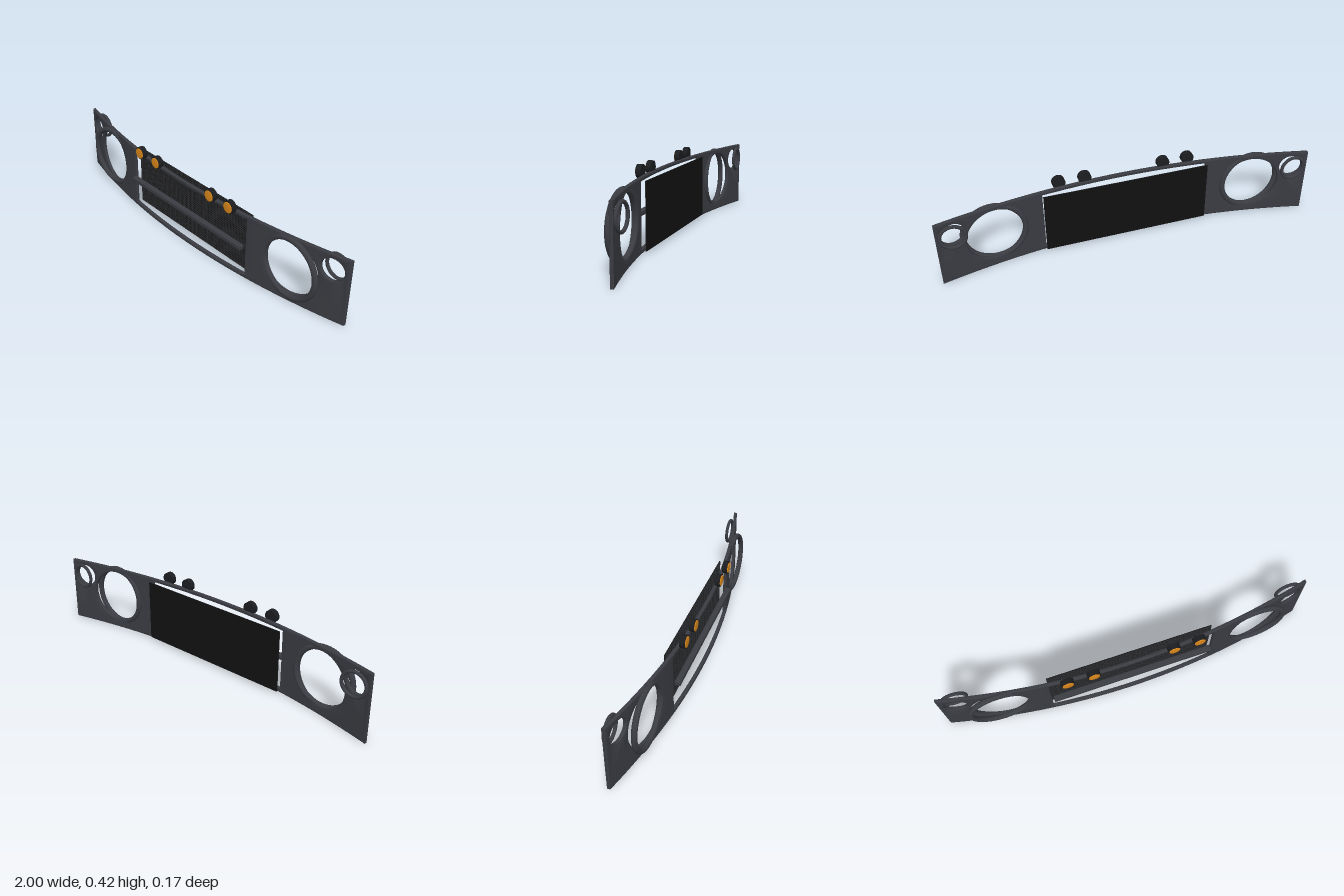
import * as THREE from 'three';
import { RoundedBoxGeometry } from 'three/addons/geometries/RoundedBoxGeometry.js';
import { mergeGeometries, toCreasedNormals } from 'three/addons/utils/BufferGeometryUtils.js';

const THICK = 0.019;
const frontZ = (x) => 0.07 - 0.126 * x * x; // bow of the panel's front face

const mat = (color) => new THREE.MeshStandardMaterial({ color });

// Split triangles until no edge spans more than maxX in x, so the panel can bend smoothly
function subdivideX(geo, maxX) {
  const p = geo.attributes.position;
  const stack = [], out = [];
  for (let i = 0; i < p.count; i += 3) {
    stack.push([0, 1, 2].map((k) => new THREE.Vector3().fromBufferAttribute(p, i + k)));
  }
  while (stack.length) {
    const t = stack.pop();
    const spans = t.map((v, k) => Math.abs(v.x - t[(k + 1) % 3].x));
    const k = spans.indexOf(Math.max(...spans));
    if (spans[k] <= maxX) {
      t.forEach((v) => out.push(v.x, v.y, v.z));
      continue;
    }
    const a = t[k], b = t[(k + 1) % 3], c = t[(k + 2) % 3];
    const m = a.clone().add(b).multiplyScalar(0.5);
    stack.push([a, m, c], [m, b, c]);
  }
  const g = new THREE.BufferGeometry();
  g.setAttribute('position', new THREE.Float32BufferAttribute(out, 3));
  return g;
}

function rectPath(path, x0, y0, x1, y1) {
  path.moveTo(x0, y0).lineTo(x1, y0).lineTo(x1, y1).lineTo(x0, y1).closePath();
  return path;
}

// Bowed panel with grille opening and four round lamp openings
function panelGeometry() {
  const shape = rectPath(new THREE.Shape(), -1, 0, 1, 0.368);
  shape.holes.push(rectPath(new THREE.Path(), -0.445, 0.02, 0.445, 0.35));
  for (const s of [-1, 1]) {
    shape.holes.push(new THREE.Path().absarc(s * 0.705, 0.197, 0.148, 0, Math.PI * 2, true));
    shape.holes.push(new THREE.Path().absarc(s * 0.915, 0.285, 0.06, 0, Math.PI * 2, true));
  }
  const bevel = 0.003;
  const flat = new THREE.ExtrudeGeometry(shape, {
    depth: THICK - 2 * bevel, curveSegments: 48,
    bevelThickness: bevel, bevelSize: bevel, bevelOffset: -bevel, bevelSegments: 2,
  });
  const geo = subdivideX(flat, 0.05);
  const p = geo.attributes.position;
  for (let i = 0; i < p.count; i++) {
    p.setZ(i, p.getZ(i) + bevel - THICK + frontZ(p.getX(i)));
  }
  return toCreasedNormals(geo, 0.6);
}

// Fine grid of thin bars
function gridGeometry(w, h, nx, ny, bar) {
  const parts = [];
  for (let i = 0; i <= nx; i++) {
    parts.push(new THREE.BoxGeometry(bar, h, bar).translate((i / nx - 0.5) * (w - bar), 0, 0));
  }
  for (let j = 0; j <= ny; j++) {
    parts.push(new THREE.BoxGeometry(w, bar, bar).translate(0, (j / ny - 0.5) * (h - bar), 0));
  }
  return mergeGeometries(parts);
}

export function createModel() {
  const model = new THREE.Group();
  const body = mat(0x3a3c42), dark = mat(0x1c1d20), black = mat(0x111111);
  const wire = mat(0x2a2b2e), amber = mat(0xd9861a);

  const add = (name, geo, material, x, y, z, parent = model) => {
    const m = new THREE.Mesh(geo, material);
    m.name = name;
    m.position.set(x, y, z);
    parent.add(m);
    return m;
  };

  add('frontPanel', panelGeometry(), body, 0, 0, 0);

  // Flat grille set behind the opening
  add('grilleBacking', new THREE.BoxGeometry(0.89, 0.34, 0.004), black, 0, 0.185, 0.002);
  add('grilleMesh', gridGeometry(0.89, 0.34, 80, 30, 0.003), wire, 0, 0.185, 0.0045);
  add('grilleBar', new RoundedBoxGeometry(0.87, 0.026, 0.031, 3, 0.006), body, 0, 0.185, 0.06);

  // Rings around the lamp openings
  const bigRing = new THREE.TorusGeometry(0.16, 0.0145, 16, 72);
  const smallRing = new THREE.TorusGeometry(0.064, 0.009, 12, 48);
  for (const s of [-1, 1]) {
    const side = s > 0 ? 'left' : 'right';
    add(side + 'HeadlightRing', bigRing, body, s * 0.705, 0.197, 0.012);
    add(side + 'IndicatorRing', smallRing, body, s * 0.915, 0.285, -0.076);
  }

  // Marker lamps along the top edge
  const housing = new THREE.CylinderGeometry(0.034, 0.034, 0.028, 32).rotateX(Math.PI / 2);
  const lensProfile = [[0.029, 0], [0.029, 0.003], [0.026, 0.0042], [0.015, 0.005], [0, 0.0053]];
  const lens = new THREE.LatheGeometry(lensProfile.map(([r, h]) => new THREE.Vector2(r, h)), 32)
    .rotateX(Math.PI / 2);
  for (const x of [-0.35, -0.213, 0.213, 0.35]) {
    const lamp = new THREE.Group();
    lamp.name = 'markerLamp';
    lamp.position.set(x, 0.385, 0.067);
    add('lampHousing', housing, dark, 0, 0, 0, lamp);
    add('lampLens', lens, amber, 0, 0, 0.0138, lamp);
    model.add(lamp);
  }
  return model;
}
